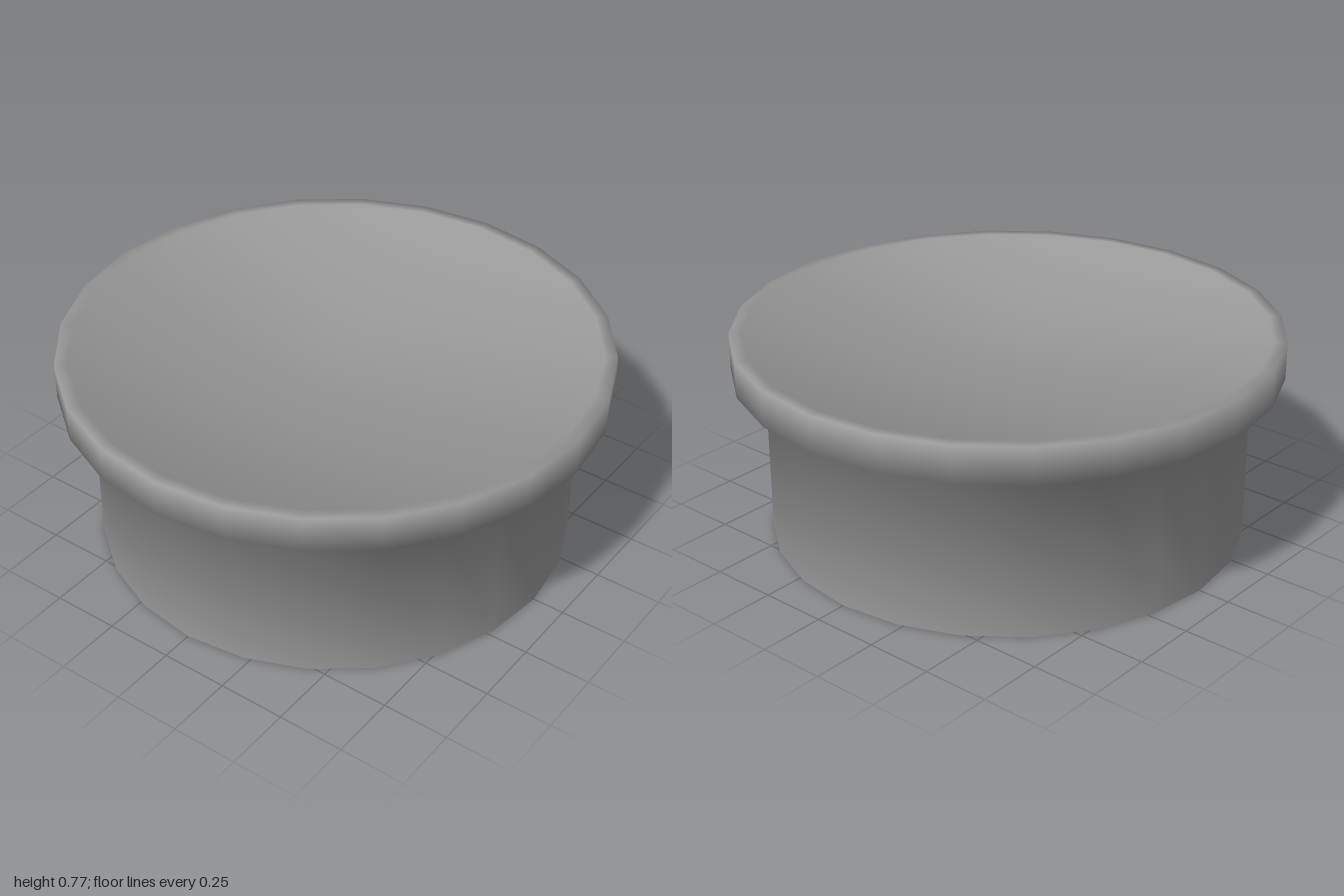
import * as THREE from 'three';

// Lathe whose normals weigh neighbouring profile segments equally
function softLathe(profile, segments) {
  const geometry = new THREE.LatheGeometry(profile.map(([r, y]) => new THREE.Vector2(r, y)), segments);
  const faces = profile.slice(1).map(([r, y], i) =>
    new THREE.Vector2(y - profile[i][1], profile[i][0] - r).normalize());
  const last = profile.length - 1;
  const normals = profile.map((_, j) =>
    faces[Math.max(j - 1, 0)].clone().add(faces[Math.min(j, last - 1)]).normalize());
  const attribute = geometry.attributes.normal;
  for (let i = 0; i <= segments; i++) {
    const angle = (i / segments) * Math.PI * 2;
    normals.forEach((n, j) =>
      attribute.setXYZ(i * profile.length + j, n.x * Math.sin(angle), n.y, n.x * Math.cos(angle)));
  }
  return geometry;
}

export function createModel() {
  const group = new THREE.Group();
  group.name = 'recessedCap';

  const grey = new THREE.MeshStandardMaterial({ color: 0x999999, side: THREE.DoubleSide });
  grey.name = 'grey';

  // Open tube, flared shoulder, rim, small lip step and flat recessed top
  const profile = [
    [0.88, 0], [0.88, 0.565], [1, 0.635], [1, 0.772],
    [0.955, 0.772], [0.935, 0.747], [0, 0.747],
  ];
  const shell = new THREE.Mesh(softLathe(profile, 24), grey);
  shell.name = 'capShell';
  group.add(shell);
  return group;
}
